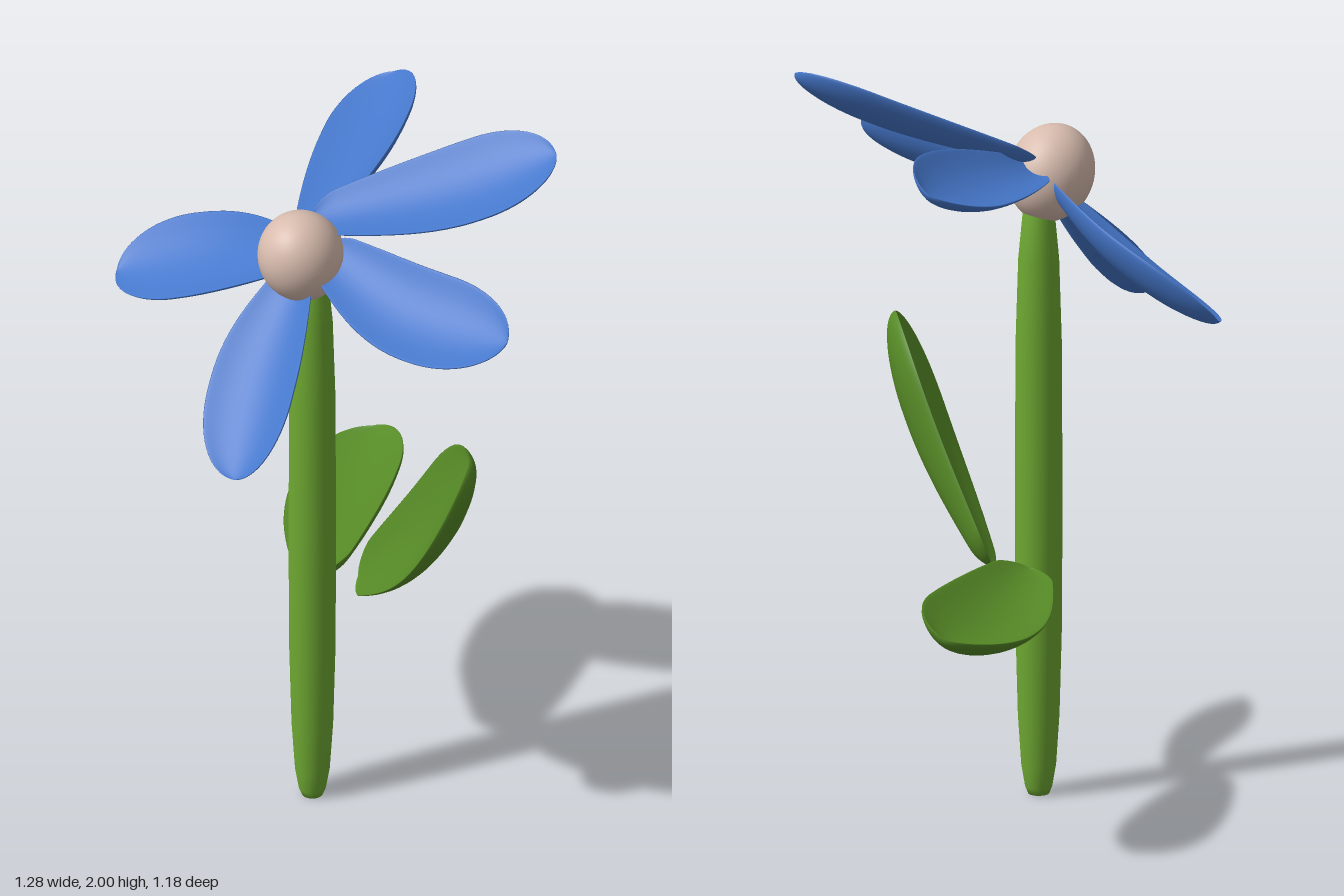
import * as THREE from 'three';

const V = (a) => new THREE.Vector3(...a);
const mat = (color) => new THREE.MeshStandardMaterial({ color });

// Relative blade width along its length: rounded base, wide middle, elliptic tip
function outline(t) {
  const body = 0.42 + 0.58 * Math.sin((Math.PI / 2) * Math.min(1, t / 0.6));
  const start = Math.max(0, 1 - t / 0.09);
  const end = Math.max(0, (t - 0.64) / 0.36);
  return body * Math.sqrt(Math.max(0, (1 - start * start) * (1 - end * end)));
}

// Cupped blade swept along base -> mid -> tip.
// across: width direction, half: half width, top/under: bulge of each face, cup: lift of the rims.
function blade(name, material, { path, across, half, top, under, cup }) {
  const curve = new THREE.CatmullRomCurve3(path.map(V));
  const rows = 40, sides = 32, pos = [], index = [];
  for (let i = 0; i <= rows; i++) {
    const t = (1 - Math.cos((Math.PI * i) / rows)) / 2;
    const c = curve.getPoint(t);
    const dir = curve.getTangent(t);
    const w = V(across).addScaledVector(dir, -V(across).dot(dir)).normalize();
    const n = new THREE.Vector3().crossVectors(dir, w);
    if (n.y < 0) { n.negate(); w.negate(); }
    const s = outline(t);
    for (let j = 0; j < sides; j++) {
      const a = (2 * Math.PI * j) / sides;
      const x = Math.cos(a), y = Math.sin(a);
      const h = y * (y > 0 ? top : under) + cup * (x * x - 0.5);
      const p = c.clone().addScaledVector(w, x * half * s).addScaledVector(n, h * s);
      pos.push(p.x, p.y, p.z);
    }
  }
  for (let i = 0; i < rows; i++) {
    for (let j = 0; j < sides; j++) {
      const k = (j + 1) % sides;
      const a = i * sides + j, b = i * sides + k, c = a + sides, d = b + sides;
      index.push(a, b, c, b, d, c);
    }
  }
  const geo = new THREE.BufferGeometry();
  geo.setAttribute('position', new THREE.Float32BufferAttribute(pos, 3));
  geo.setIndex(index);
  geo.computeVertexNormals();
  const mesh = new THREE.Mesh(geo, material);
  mesh.name = name;
  return mesh;
}

export function createModel() {
  const model = new THREE.Group();
  model.name = 'flower';
  const blue = mat(0x4678cc), leafGreen = mat(0x568a26);

  // Stem, tapering at both ends
  const profile = [[0, 0], [0.028, 0], [0.036, 0.02], [0.046, 0.08], [0.055, 0.22], [0.061, 0.45],
    [0.063, 0.8], [0.061, 1.25], [0.054, 1.48], [0.042, 1.61], [0.025, 1.65], [0, 1.66]];
  const stem = new THREE.Mesh(
    new THREE.LatheGeometry(profile.map((p) => new THREE.Vector2(...p)), 32), mat(0x6ea832));
  stem.name = 'stem';
  stem.position.set(-0.033, 0, 0.115);
  model.add(stem);

  // Flower centre, slightly tall and leaning forward
  const centre = new THREE.Mesh(new THREE.SphereGeometry(1, 40, 28), mat(0xd8bcae));
  centre.name = 'flowerCentre';
  centre.scale.set(0.113, 0.132, 0.117);
  centre.rotation.x = 0.5;
  centre.position.set(-0.035, 1.708, 0.16);
  model.add(centre);

  // Petals, each with its own reach and tilt
  const petals = [
    { name: 'leftPetal', path: [[0, 1.72, 0.12], [0.33, 1.675, 0.17], [0.637, 1.69, 0.15]], across: [0, -0.157, 0.215] },
    { name: 'frontPetal', path: [[-0.04, 1.66, 0.17], [-0.01, 1.475, 0.365], [0.07, 1.265, 0.588]], across: [1, 0.1, 0] },
    { name: 'rightPetal', path: [[-0.06, 1.69, 0.14], [-0.35, 1.56, 0.12], [-0.642, 1.43, 0.165]], across: [0, -0.165, 0.23] },
    { name: 'backRightPetal', path: [[-0.06, 1.74, 0.08], [-0.147, 1.8, -0.24], [-0.25, 1.85, -0.525]], across: [0.26, 0.08, 0.05] },
    { name: 'backLeftPetal', path: [[-0.06, 1.77, 0.08], [0.245, 1.872, -0.125], [0.455, 1.98, -0.305]], across: [0.155, -0.1, 0.18] },
  ];
  const petalGroup = new THREE.Group();
  petalGroup.name = 'petals';
  for (const p of petals) {
    petalGroup.add(blade(p.name, blue, { ...p, half: 0.132, top: 0.01, under: 0.028, cup: 0.042 }));
  }
  model.add(petalGroup);

  // Leaves: one upright, one lying back
  const leaf = { half: 0.15, top: 0.012, under: 0.045, cup: 0.045 };
  model.add(blade('leftLeaf', leafGreen, {
    ...leaf, path: [[0.03, 0.645, 0], [0.288, 0.92, 0.072], [0.475, 1.225, 0.1]], across: [0.45, -0.46, 0.77],
  }));
  model.add(blade('rightLeaf', leafGreen, {
    ...leaf, path: [[-0.06, 0.645, 0.05], [-0.24, 0.635, -0.28], [-0.37, 0.66, -0.585]], across: [0.85, 0.28, -0.43],
  }));
  return model;
}
